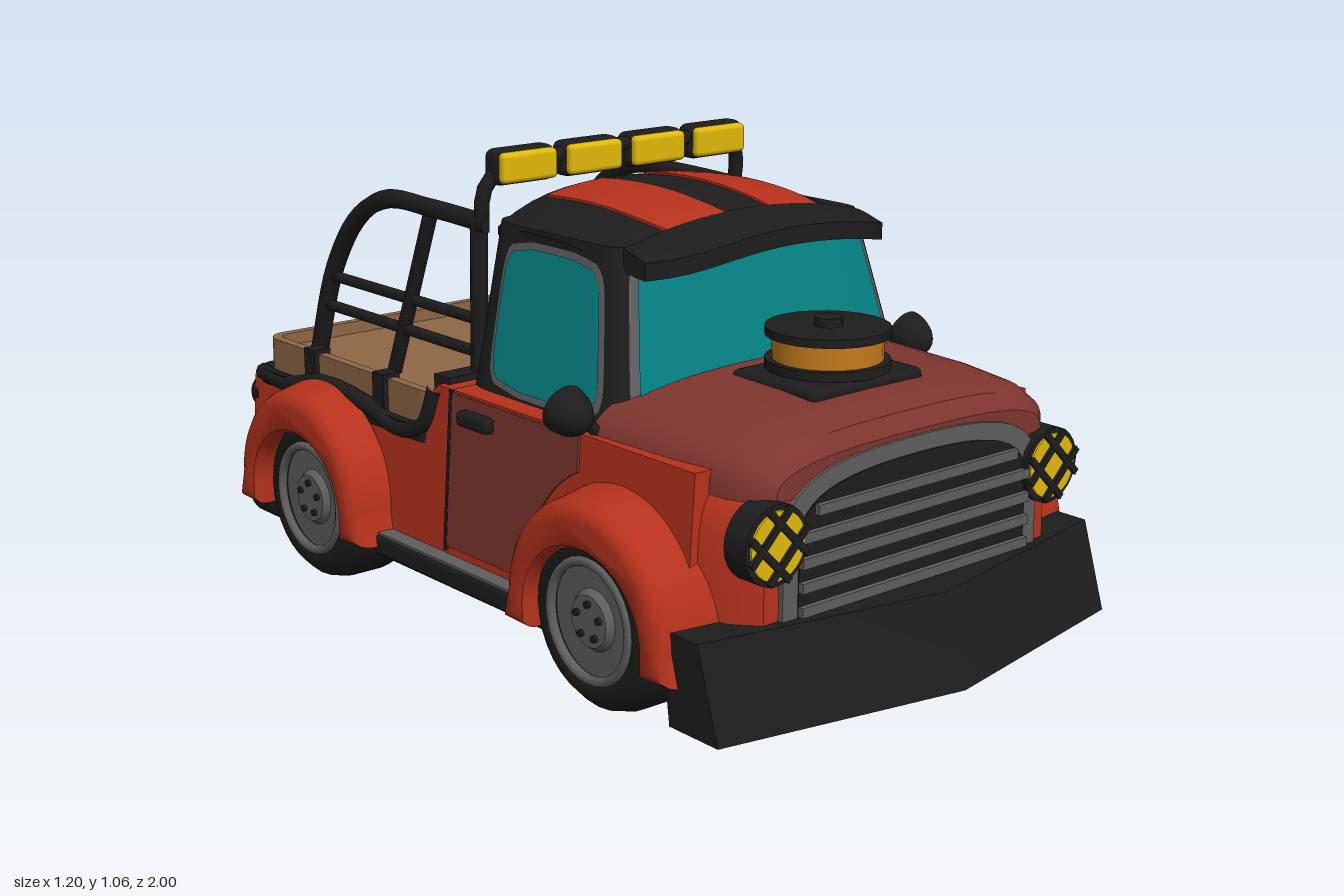
import * as THREE from 'three';
import { toCreasedNormals } from 'three/addons/utils/BufferGeometryUtils.js';
import { ParametricGeometry } from 'three/addons/geometries/ParametricGeometry.js';
import { RoundedBoxGeometry } from 'three/addons/geometries/RoundedBoxGeometry.js';

const mat = (name, color, side = THREE.FrontSide) => {
  const m = new THREE.MeshStandardMaterial({ color, side });
  m.name = name;
  return m;
};
const V = (x, y, z) => new THREE.Vector3(x, y, z);
const mix = THREE.MathUtils.lerp;

export function createModel() {
  const root = new THREE.Group();
  root.name = 'pickupTruck';
  const red = mat('brightRed', 0xb6321c), dull = mat('dullRed', 0x7e352e), black = mat('black', 0x1d1d1d);
  const gray = mat('gray', 0x5e5e5e, THREE.DoubleSide), glass = mat('tealGlass', 0x058284, THREE.DoubleSide);
  const yellow = mat('lampYellow', 0xe2b90a), tan = mat('tanLiner', 0x8e6746), orange = mat('orange', 0xc47a1a);

  const add = (name, geo, material, x = 0, y = 0, z = 0, parent = root) => {
    const m = new THREE.Mesh(geo, material);
    m.name = name;
    m.position.set(x, y, z);
    parent.add(m);
    return m;
  };
  const box = (name, m, w, h, d, x, y, z) => add(name, new THREE.BoxGeometry(w, h, d), m, x, y, z);
  const soft = (name, m, w, h, d, r, x, y, z) => add(name, new RoundedBoxGeometry(w, h, d, 2, r), m, x, y, z);
  const tube = (name, pts, r, m = black) =>
    add(name, new THREE.TubeGeometry(new THREE.CatmullRomCurve3(pts, false, 'centripetal'), pts.length * 5, r, 8), m);
  const rod = (name, m, r, len, axis, x, y, z) => {
    const g = new THREE.CylinderGeometry(r, r, len, 24);
    if (axis === 'x') g.rotateZ(-Math.PI / 2);
    if (axis === 'z') g.rotateX(Math.PI / 2);
    return add(name, g, m, x, y, z);
  };
  const warp = (g, fn) => {
    const p = g.attributes.position, v = V(0, 0, 0);
    for (let i = 0; i < p.count; i++) {
      fn(v.fromBufferAttribute(p, i));
      p.setXYZ(i, v.x, v.y, v.z);
    }
    return toCreasedNormals(g, 0.6);
  };
  const loft = rings => {
    const n = rings[0].length, pos = rings.flat().flatMap(v => [v.x, v.y, v.z]), idx = [];
    for (let i = 0; i < rings.length - 1; i++) for (let j = 0; j < n; j++) {
      const a = i * n + j, b = i * n + (j + 1) % n;
      idx.push(a, b, b + n, a, b + n, a + n);
    }
    const last = (rings.length - 1) * n;
    for (let j = 1; j < n - 1; j++) idx.push(0, j + 1, j, last, last + j, last + j + 1);
    const g = new THREE.BufferGeometry();
    g.setAttribute('position', new THREE.Float32BufferAttribute(pos, 3));
    g.setIndex(idx);
    return toCreasedNormals(g, 0.6);
  };
  const pw = (v, n) => Math.sign(v) * Math.abs(v) ** (2 / n);
  const arch = (z, w, y0, y1, n) => Array.from({ length: 25 }, (_, i) => {
    const a = i / 24 * Math.PI;
    return V(w * pw(Math.cos(a), n), y0 + (y1 - y0) * pw(Math.sin(a), n), z);
  });
  // Side profile (z, y) extruded across x, centred
  const across = (shape, width, bevel = 0) => new THREE.ExtrudeGeometry(shape, {
    depth: width - 2 * bevel, bevelEnabled: bevel > 0, bevelSize: bevel, bevelThickness: bevel, bevelSegments: 3, curveSegments: 20,
  }).translate(0, 0, bevel - width / 2).rotateY(-Math.PI / 2);
  const rr = (w, h, r, S = THREE.Shape) => new S()
    .moveTo(-w / 2 + r, -h / 2).lineTo(w / 2 - r, -h / 2).absarc(w / 2 - r, -h / 2 + r, r, -Math.PI / 2, 0)
    .lineTo(w / 2, h / 2 - r).absarc(w / 2 - r, h / 2 - r, r, 0, Math.PI / 2)
    .lineTo(-w / 2 + r, h / 2).absarc(-w / 2 + r, h / 2 - r, r, Math.PI / 2, Math.PI)
    .lineTo(-w / 2, -h / 2 + r).absarc(-w / 2 + r, -h / 2 + r, r, Math.PI, Math.PI * 1.5);
  const upright = (shape, h) => new THREE.ExtrudeGeometry(shape, { depth: h, bevelEnabled: false }).rotateX(-Math.PI / 2);

  // Lower body with wheel arches, leaning in towards the top
  const lean = v => { v.x *= (0.507 - 0.07 * (v.y - 0.17)) / 0.5; };
  const body = new THREE.Shape().moveTo(-0.9, 0.2).lineTo(-0.76, 0.18).absarc(-0.54, 0.2, 0.22, Math.PI, 0, true)
    .lineTo(-0.32, 0.17).lineTo(0.28, 0.17).absarc(0.5, 0.2, 0.22, Math.PI, 0, true)
    .lineTo(0.72, 0.55).lineTo(-0.13, 0.55).lineTo(-0.16, 0.52).quadraticCurveTo(-0.18, 0.43, -0.25, 0.42).lineTo(-0.9, 0.42);
  add('body', warp(across(body, 1), lean), red);
  const door = new THREE.Shape().moveTo(-0.07, 0.2).lineTo(0.2, 0.2).quadraticCurveTo(0.23, 0.4, 0.37, 0.47)
    .lineTo(0.37, 0.545).lineTo(-0.07, 0.545);
  add('doors', warp(across(door, 1.012), lean), dull);
  const seam = new THREE.Shape().moveTo(-0.08, 0.19).lineTo(-0.07, 0.19).lineTo(-0.07, 0.55).lineTo(-0.08, 0.55);
  add('doorSeams', warp(across(seam, 1.014), lean), black);
  add('nose', loft([arch(0.68, 0.485, 0.17, 0.56, 7), arch(0.79, 0.455, 0.18, 0.56, 6), arch(0.84, 0.41, 0.2, 0.55, 6)]), red);
  add('hood', loft([arch(0.38, 0.47, 0.5, 0.645, 3), arch(0.62, 0.46, 0.5, 0.64, 3), arch(0.76, 0.44, 0.5, 0.63, 3),
    arch(0.82, 0.415, 0.5, 0.61, 3), arch(0.845, 0.385, 0.5, 0.575, 3)]), dull);

  // Cab: tapered rounded block, with window panes laid on the same surface
  const cab = y => { const t = (y - 0.53) / 0.36; return { w: mix(0.432, 0.362, t), f: mix(0.44, 0.355, t), b: mix(-0.12, -0.1, t) }; };
  const N = 9, bulge = t => (1 - Math.min(1, Math.abs(t)) ** N) ** (1 / N);
  const cabRing = y => {
    const { w, f, b } = cab(y);
    return Array.from({ length: 80 }, (_, i) => {
      const a = i / 80 * Math.PI * 2;
      return V(w * pw(Math.sin(a), N), y, (f + b) / 2 + (f - b) / 2 * pw(Math.cos(a), N));
    });
  };
  add('cab', loft([cabRing(0.53), cabRing(0.91)]), black);
  const pane = (name, m, side, s, y0, y1, u0, u1, lift, curve = 9) => add(name, new ParametricGeometry((p, q, out) => {
    const v = (q * 2 - 1) * 0.999, round = (1 - Math.abs(v) ** curve) ** (1 / curve);
    const u = mix(u0, u1, 0.5 + (p - 0.5) * round), y = mix(y0, y1, q), { w, f, b } = cab(y);
    const c = (f + b) / 2, d = (f - b) / 2;
    if (side === 'x') out.set(s * (w * bulge(u) + lift), y, c + d * u);
    else out.set(w * u, y, c + s * (d * bulge(u) + lift));
  }, 16, 24), m);
  for (const s of [1, -1]) {
    pane('sideWindowFrame', gray, 'x', s, 0.555, 0.885, -0.67, 0.775, 0.002, 6);
    pane('sideWindow', glass, 'x', s, 0.57, 0.87, -0.62, 0.725, 0.0045, 6);
  }
  pane('windscreenFrame', gray, 'z', 1, 0.55, 0.908, -0.915, 0.915, 0.003);
  pane('windscreen', glass, 'z', 1, 0.555, 0.902, -0.872, 0.872, 0.007);
  pane('rearWindowFrame', gray, 'z', -1, 0.58, 0.88, -0.86, 0.86, 0.003);
  pane('rearWindow', glass, 'z', -1, 0.6, 0.86, -0.81, 0.81, 0.007);
  box('cabBackPanel', black, 0.93, 0.13, 0.055, 0, 0.5, -0.14);

  // Domed roof and two stripes that follow it
  const roof = (x0, x1, lift, z0, z1) => warp(new THREE.BoxGeometry(x1 - x0, 1, z1 - z0, 14, 1, 14).translate((x0 + x1) / 2, 0, (z0 + z1) / 2), v => {
    const { x, z } = v;
    v.y = v.y > 0 ? 0.975 - 0.3 * x * x - 2 * x ** 4 - 0.4 * (z - 0.08) ** 2 + lift : 0.87 + lift;
    v.x *= 1 - 0.1 * Math.abs((z - 0.13) / 0.24) ** 4;
  });
  add('roof', roof(-0.363, 0.363, 0, -0.105, 0.37), black);
  for (const s of [0.148, -0.148]) add('roofStripe', roof(s - 0.083, s + 0.083, 0.005, -0.07, 0.366), red);
  add('sunVisor', warp(new THREE.BoxGeometry(0.68, 0.046, 0.15, 20, 1, 4), v => {
    const t = v.x / 0.34;
    v.y = v.y * (1 - 2.5 * Math.max(0, v.z)) - 0.045 * t * t - 0.1 * v.z;
    v.z -= (v.z + 0.075) * 0.55 * t ** 6;
  }), black, 0, 0.923, 0.413);

  // Grille with bars
  const grille = (w, top) => new THREE.Shape().moveTo(-w, 0.2).lineTo(w, 0.2).lineTo(w, 0.41)
    .bezierCurveTo(w, top - 0.03, w * 0.7, top, 0, top).bezierCurveTo(-w * 0.7, top, -w, top - 0.03, -w, 0.41);
  const plate = (shape, d) => new THREE.ExtrudeGeometry(shape, { depth: d, bevelEnabled: false });
  add('grilleFrame', plate(grille(0.37, 0.565), 0.04), gray, 0, 0, 0.812);
  add('grilleInset', plate(grille(0.33, 0.53), 0.005), black, 0, 0, 0.85);
  [[0.27, 0.33], [0.32, 0.33], [0.37, 0.33], [0.422, 0.33], [0.472, 0.29]].forEach(([y, w]) =>
    box('grilleBar', gray, w * 2, 0.021, 0.02, 0, y, 0.857));

  // Engine air filter
  soft('intakeBase', black, 0.32, 0.04, 0.25, 0.015, 0, 0.632, 0.59);
  [[0.12, 0.63, 0.655, black], [0.132, 0.655, 0.675, black], [0.117, 0.675, 0.725, orange], [0.132, 0.725, 0.743, black], [0.03, 0.743, 0.762, black]]
    .forEach(([r, a, b, m]) => rod('airFilter', m, r, b - a, 'y', 0, (a + b) / 2, 0.59));

  // Plough-shaped front bumper
  const plough = new THREE.Shape([[-0.57, 0.75], [0.57, 0.75], [0.57, 0.89], [0, 1], [-0.57, 0.89]].map(p => new THREE.Vector2(...p)));
  add('frontPlough', warp(plate(plough, 0.193).rotateX(Math.PI / 2).translate(0, 0.257, 0), v => {
    v.z -= (v.z > 0.8 ? 0.06 : 0.025) * (v.y - 0.064) / 0.193;
  }), black);

  // Bed rim, liner and tailgate
  add('bedRim', upright(rr(0.99, 0.77, 0.06), 0.035), black, 0, 0.408, -0.52);
  add('bedFloor', upright(rr(0.93, 0.69, 0.03), 0.05), tan, 0, 0.44, -0.517);
  const liner = rr(0.95, 0.71, 0.05);
  liner.holes.push(rr(0.905, 0.665, 0.03, THREE.Path));
  add('bedLiner', upright(liner, 0.08), tan, 0, 0.44, -0.517);
  box('tailgatePanel', dull, 0.4, 0.085, 0.008, 0, 0.335, -0.902);
  soft('rearBumper', black, 1.0, 0.17, 0.17, 0.045, 0, 0.14, -0.877);
  box('rearBumperStep', black, 0.6, 0.04, 0.06, 0, 0.215, -0.9);
  soft('rearSkid', black, 0.56, 0.05, 0.12, 0.01, 0, 0.07, -0.86);

  // Roof lamps on the crossbar
  tube('lampBar', [V(-0.37, 0.88, -0.11), V(-0.37, 0.97, -0.1), V(-0.34, 1.01, -0.09), V(0.34, 1.01, -0.09), V(0.37, 0.97, -0.1), V(0.37, 0.88, -0.11)], 0.017);
  for (const x of [-0.278, -0.093, 0.093, 0.278]) {
    soft('lampHousing', black, 0.162, 0.08, 0.06, 0.02, x, 1.022, -0.09);
    soft('lampLens', yellow, 0.15, 0.068, 0.03, 0.012, x, 1.022, -0.062);
  }

  for (const s of [1, -1]) {
    // Roll cage
    const X = 0.37 * s, rail = (...p) => p.map(([z, y]) => V(X, y, z));
    tube('cageRail', rail([-0.08, 0.9], [-0.3, 0.905], [-0.48, 0.9], [-0.6, 0.84], [-0.71, 0.7], [-0.8, 0.46]), 0.022);
    tube('cagePost', rail([-0.13, 0.45], [-0.12, 0.9]), 0.02);
    tube('cageBrace', rail([-0.3, 0.9], [-0.48, 0.46]), 0.017);
    tube('cageUpperBar', rail([-0.12, 0.68], [-0.72, 0.68]), 0.014);
    tube('cageLowerBar', rail([-0.12, 0.605], [-0.76, 0.605]), 0.014);
    for (const z of [-0.36, -0.65]) box('bedClamp', black, 0.045, 0.09, 0.045, s * 0.465, 0.485, z);
    tube('bedStrap', [V(s * 0.48, 0.54, -0.14), V(s * 0.485, 0.45, -0.18), V(s * 0.487, 0.42, -0.27), V(s * 0.487, 0.45, -0.42),
      V(s * 0.487, 0.46, -0.6), V(s * 0.487, 0.425, -0.75), V(s * 0.48, 0.43, -0.88)], 0.02);

    // Flared fenders, overlapping the tyres and shrinking towards the outside
    for (const [z, width] of [[0.505, 0.18], [-0.56, 0.12]]) {
      const f = new THREE.Shape().moveTo(-0.255, 0.17).lineTo(-0.245, 0.23).absellipse(0, 0.21, 0.24, 0.24, Math.PI, 0, true)
        .lineTo(0.255, 0.17).lineTo(0.22, 0.17).lineTo(0.22, 0.2).absellipse(0, 0.2, 0.22, 0.2, 0, Math.PI).lineTo(-0.22, 0.17);
      add('fender', warp(across(f, width, 0.03), v => {
        const k = 1 - 0.09 * Math.max(0, 1 - (width / 2 - s * v.x) / 0.12);
        v.y = 0.18 + (v.y - 0.18) * k;
        v.z *= k;
      }), red, s * (0.6 - width / 2), 0, z);
    }

    // Wheels
    const tyre = [[0.1, -0.1], [0.165, -0.1], [0.19, -0.075], [0.2, -0.04], [0.2, 0.04], [0.19, 0.075], [0.165, 0.1], [0.125, 0.1], [0.12, 0.06]];
    for (const z of [0.5, -0.54]) {
      const wheel = new THREE.Group();
      wheel.name = 'wheel';
      wheel.position.set(s * 0.468, 0.205, z);
      wheel.rotation.z = -s * Math.PI / 2;
      root.add(wheel);
      add('tyre', new THREE.LatheGeometry(tyre.map(p => new THREE.Vector2(...p)), 32), black, 0, 0, 0, wheel);
      add('innerDisc', new THREE.CylinderGeometry(0.11, 0.11, 0.02, 24), black, 0, -0.088, 0, wheel);
      add('rimDisc', new THREE.CylinderGeometry(0.122, 0.122, 0.03, 32), gray, 0, 0.07, 0, wheel);
      add('rimRing', new THREE.TorusGeometry(0.125, 0.011, 8, 32).rotateX(Math.PI / 2), gray, 0, 0.098, 0, wheel);
      add('hub', new THREE.CylinderGeometry(0.055, 0.07, 0.02, 24), gray, 0, 0.09, 0, wheel);
      for (let i = 0; i < 5; i++) {
        const a = i / 5 * Math.PI * 2;
        add('wheelNut', new THREE.CylinderGeometry(0.008, 0.008, 0.01, 8), black, 0.037 * Math.cos(a), 0.103, 0.037 * Math.sin(a), wheel);
      }
    }

    // Headlamp with crossed guard
    rod('headlampRim', black, 0.083, 0.06, 'z', s * 0.4, 0.425, 0.835);
    rod('headlampLens', yellow, 0.071, 0.008, 'z', s * 0.4, 0.425, 0.866);
    for (const t of [1, -1]) for (const o of [-0.023, 0.023])
      box('headlampGuard', black, 0.015, 0.142, 0.008, s * 0.4 + o, 0.425 + t * o, 0.873).rotation.z = t * Math.PI / 4;

    // Mirror with glass tilted slightly up, handle and step
    const dome = depth => new THREE.SphereGeometry(0.052, 20, 10, 0, Math.PI * 2, 0, Math.PI / 2).rotateX(Math.PI / 2).scale(1, 1, depth);
    add('mirrorShell', dome(1.5), black, s * 0.5, 0.602, 0.338).rotation.x = 0.3;
    add('mirrorGlass', dome(0.15).rotateY(Math.PI), glass, s * 0.5, 0.602, 0.338).rotation.x = 0.3;
    tube('mirrorArm', [V(s * 0.43, 0.53, 0.4), V(s * 0.5, 0.6, 0.37)], 0.013);
    soft('doorHandle', black, 0.035, 0.035, 0.11, 0.012, s * 0.497, 0.503, 0.03);
    soft('sideStep', black, 0.12, 0.05, 0.54, 0.012, s * 0.49, 0.152, -0.04);
    box('stepTread', gray, 0.05, 0.006, 0.5, s * 0.52, 0.178, -0.04);
    box('sill', black, 0.1, 0.06, 0.8, s * 0.42, 0.11, -0.03);

    // Tail lamps and exhaust
    [[0.37, 0.038], [0.285, 0.031]].forEach(([y, r]) => {
      rod('tailLampRim', black, r + 0.007, 0.03, 'z', s * 0.45, y, -0.9);
      rod('tailLamp', orange, r, 0.03, 'z', s * 0.45, y, -0.912);
    });
    rod('exhaustTip', black, 0.038, 0.08, 'z', s * 0.33, 0.11, -0.96);
    tube('exhaustPipe', [V(s * 0.3, 0.11, 0.3), V(s * 0.27, 0.11, -0.3), V(s * 0.29, 0.11, -0.6), V(s * 0.33, 0.11, -0.9)], 0.028);
    box('chassisRail', black, 0.06, 0.08, 1.5, s * 0.15, 0.14, -0.03);
  }

  // Underbody
  box('frontAxleCore', black, 0.68, 0.24, 0.5, 0, 0.28, 0.5);
  box('rearAxleCore', red, 0.68, 0.22, 0.5, 0, 0.28, -0.54);
  for (const z of [0.5, -0.54]) rod('axle', black, 0.03, 0.8, 'x', 0, 0.205, z);
  box('skidPlate', black, 0.56, 0.03, 0.4, 0, 0.115, 0.55);
  return root;
}
